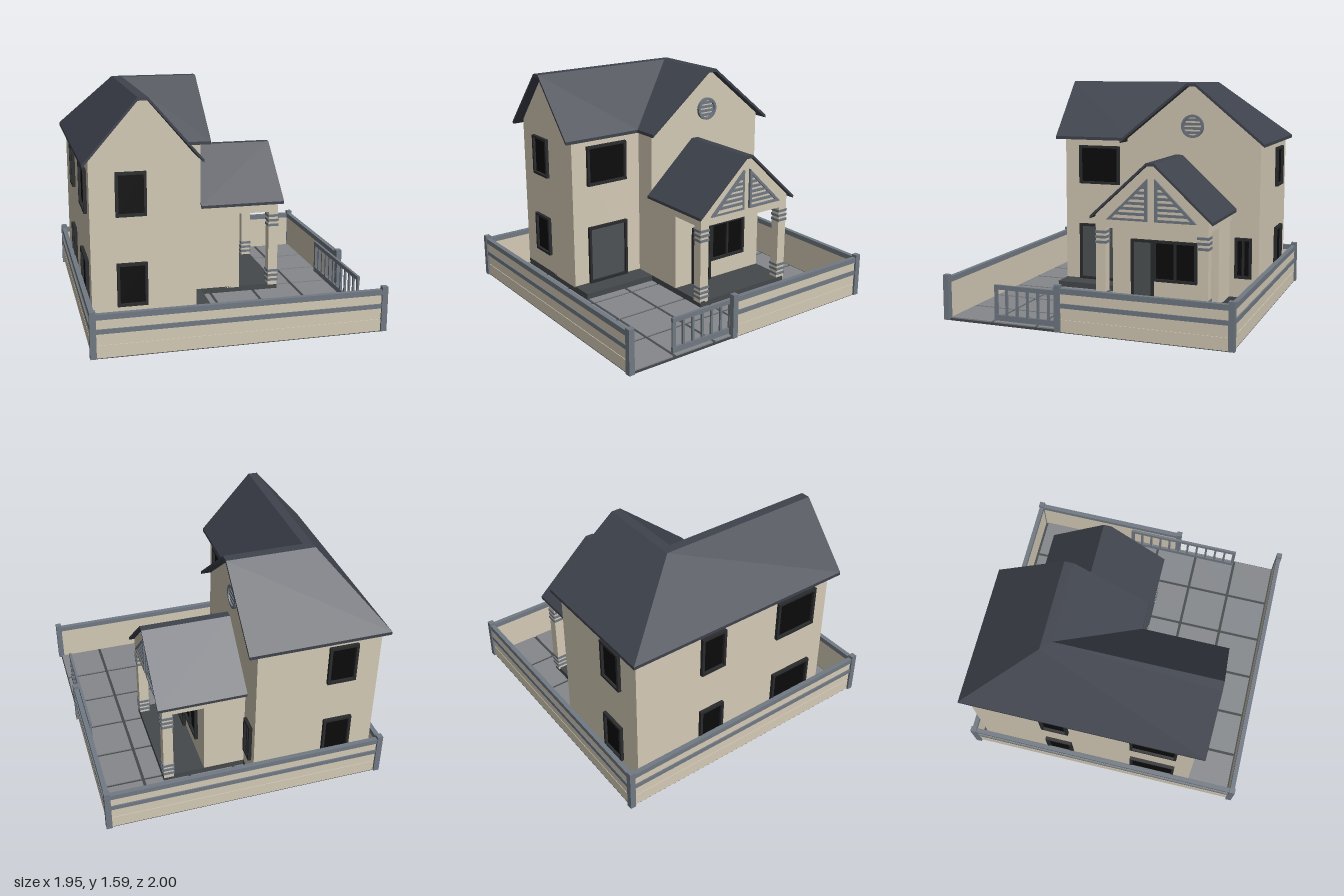
import * as THREE from 'three';

const mat = (color, flat = false) => new THREE.MeshStandardMaterial({ color, flatShading: flat, side: flat ? THREE.DoubleSide : THREE.FrontSide });
const WALL = mat(0xd4cab6, true), ROOF = mat(0x3f434d, true), TRIM = mat(0x717983), FRAME = mat(0x2a2b2d);
const GLASS = mat(0x0b0b0c), DOOR = mat(0x4e5254), PAVING = mat(0x85888c), BASE = mat(0x45494b);

function add(parent, name, geo, material) {
  const m = new THREE.Mesh(geo, material);
  m.name = name;
  parent.add(m);
  return m;
}

// Box given by its min and max along each axis
function box(parent, name, material, x0, x1, y0, y1, z0, z1) {
  const m = add(parent, name, new THREE.BoxGeometry(x1 - x0, y1 - y0, z1 - z0), material);
  m.position.set((x0 + x1) / 2, (y0 + y1) / 2, (z0 + z1) / 2);
  return m;
}

function group(parent, name, x, y, z, rotY = 0) {
  const g = new THREE.Group();
  g.name = name;
  g.position.set(x, y, z);
  g.rotation.y = rotY;
  parent.add(g);
  return g;
}

// Closed solid from matching loops of points, capped at both ends
function loft(loops, capOutline) {
  const tris = [], n = loops[0].length;
  for (let s = 0; s < loops.length - 1; s++) for (let i = 0; i < n; i++) {
    const j = (i + 1) % n, a = loops[s][i], b = loops[s][j], c = loops[s + 1][j], d = loops[s + 1][i];
    tris.push([a, b, c], [a, c, d]);
  }
  const outline = capOutline.map(p => new THREE.Vector2(...p));
  const sign = THREE.ShapeUtils.isClockWise(outline) ? -1 : 1;
  const last = loops[loops.length - 1];
  for (const f of THREE.ShapeUtils.triangulateShape(outline, [])) {
    const t = sign > 0 ? f : [f[0], f[2], f[1]];
    // triangulation keeps the outline's own direction
    const ccw = new THREE.Vector2().subVectors(outline[t[1]], outline[t[0]])
      .cross(new THREE.Vector2().subVectors(outline[t[2]], outline[t[0]])) > 0;
    const k = ccw === (sign > 0) ? t : [t[0], t[2], t[1]];
    tris.push([loops[0][k[0]], loops[0][k[2]], loops[0][k[1]]], [last[k[0]], last[k[1]], last[k[2]]]);
  }
  // Turn the solid outwards when its signed volume is negative
  const v = p => new THREE.Vector3(...p);
  const volume = tris.reduce((sum, [a, b, c]) => sum + v(a).dot(v(b).cross(v(c))), 0);
  const geo = new THREE.BufferGeometry();
  const flat = tris.flatMap(t => (volume < 0 ? [t[0], t[2], t[1]] : t).flat());
  geo.setAttribute('position', new THREE.Float32BufferAttribute(flat, 3));
  geo.computeVertexNormals();
  return geo;
}

// L-shaped solid with a mitred corner; points are [x on front wing, z on back wing, y]
function mitred(points, frontZ, endX) {
  return loft([
    points.map(([x, , y]) => [x, y, frontZ]),
    points.map(([x, z, y]) => [x, y, z]),
    points.map(([, z, y]) => [endX, y, z]),
  ], points.map(([x, , y]) => [x, y]));
}

// Straight solid along x; points are [z, y]
const alongX = (points, x0, x1) => loft([x0, x1].map(x => points.map(([z, y]) => [x, y, z])), points);

// Flat shape with one inner opening, extruded along z
function framed(outer, inner, depth) {
  const V = ps => ps.map(p => new THREE.Vector2(...p));
  const shape = new THREE.Shape(V(outer));
  shape.holes.push(new THREE.Path(V(inner)));
  return new THREE.ExtrudeGeometry(shape, { depth, bevelEnabled: false });
}
const rect = (w, h) => [[-w / 2, -h / 2], [w / 2, -h / 2], [w / 2, h / 2], [-w / 2, h / 2]];

// Window or door facing +z before turning
function opening(parent, name, x, z, rotY, w, y0, y1, fill = GLASS, mullion = false) {
  const g = group(parent, name, x, (y0 + y1) / 2, z, rotY), h = y1 - y0;
  add(g, 'frame', framed(rect(w, h), rect(w - 0.036, h - 0.036), 0.025), FRAME);
  box(g, 'pane', fill, -w / 2 + 0.01, w / 2 - 0.01, -h / 2 + 0.01, h / 2 - 0.01, -0.005, 0.007);
  if (mullion) box(g, 'mullion', FRAME, -0.008, 0.008, -h / 2 + 0.01, h / 2 - 0.01, 0, 0.02);
}

// Boundary wall whose outside faces +z before turning
function fence(parent, name, x, z, rotY, len) {
  const g = group(parent, name, x, 0, z, rotY), a = -len / 2, b = len / 2;
  box(g, 'panel', WALL, a, b, 0.02, 0.29, -0.015, 0.002);
  for (const [y0, y1] of [[0.02, 0.102], [0.108, 0.18], [0.21, 0.27]]) box(g, 'board', WALL, a, b, y0, y1, 0, 0.006);
  box(g, 'middleRail', TRIM, a, b, 0.18, 0.21, 0, 0.015);
  box(g, 'topRail', TRIM, a, b, 0.272, 0.308, -0.017, 0.015);
}

export function createModel() {
  const root = new THREE.Group();
  root.name = 'house';
  const Q = Math.PI / 2;

  // Ground slab and paving tiles
  box(root, 'groundSlab', BASE, -0.96, 0.96, 0.015, 0.03, -0.985, 0.985);
  const cuts = [-0.955, -0.635, -0.315, 0.005, 0.325, 0.645, 0.965];
  const paving = group(root, 'paving', 0, 0, 0);
  for (let i = 0; i < 6; i++) for (let j = 0; j < 6; j++) {
    box(paving, 'tile', PAVING, cuts[i] + 0.01, cuts[i + 1] - 0.01, 0.028, 0.038, cuts[j] + 0.01, cuts[j + 1] - 0.01);
  }

  // Foundation under house, doorstep and porch
  for (const [x0, x1, z0, z1] of [[-0.92, -0.07, -0.9, 0.65], [-0.07, 0.51, -0.69, 0.085]]) {
    box(root, 'footing', WALL, x0, x1, 0, 0.004, z0, z1);
    box(root, 'foundation', BASE, x0, x1, 0.004, 0.08, z0, z1);
  }

  // Two-storey walls and mitred roof
  add(root, 'houseWalls', mitred([
    [-0.92, -0.9, 0.07], [-0.92, -0.9, 1.19], [-0.605, -0.44, 1.567], [-0.55, -0.385, 1.567],
    [-0.23, 0.085, 1.19], [-0.23, 0.085, 0.07],
  ], 0.65, -0.07), WALL);
  const mainTop = [[-0.965, -0.94, 1.177], [-0.61, -0.445, 1.585], [-0.545, -0.38, 1.585], [-0.19, 0.12, 1.177]];
  const mainUnder = mainTop.map(([x, z, y]) => [x, z, y - 0.022]).reverse();
  add(root, 'mainRoof', mitred([...mainTop, ...mainUnder], 0.715, 0), ROOF);

  // Ground-floor room, porch gable and porch roof
  box(root, 'sideRoom', WALL, -0.08, 0.22, 0.07, 0.64, -0.69, 0.085);
  add(root, 'porchGable', alongX([[0.09, 0.63], [0.09, 0.72], [-0.283, 1.064], [-0.332, 1.064], [-0.7, 0.72], [-0.7, 0.63]], -0.07, 0.51), WALL);
  const porchTop = [[0.12, 0.712], [-0.28, 1.08], [-0.335, 1.08], [-0.735, 0.712]];
  const porchUnder = porchTop.map(([z, y]) => [z, y - 0.02]).reverse();
  add(root, 'porchRoof', alongX([...porchTop, ...porchUnder], -0.07, 0.545), ROOF);

  // Porch columns with bands near top and bottom
  for (const z of [0.055, -0.665]) {
    const c = group(root, 'porchColumn', 0.475, 0, z);
    box(c, 'shaft', WALL, -0.035, 0.035, 0.07, 0.64, -0.035, 0.035);
    for (const y of [0.11, 0.145, 0.18, 0.53, 0.565, 0.6]) {
      box(c, 'band', TRIM, -0.04, 0.04, y - 0.009, y + 0.009, -0.04, 0.04);
    }
  }

  // Pair of triangular louvres on the porch gable
  const louvres = group(root, 'gableLouvres', 0.505, 0.69, -0.307, Q);
  for (const s of [-1, 1]) {
    const outer = [[0.025, 0], [0.315, 0], [0.025, 0.285]], inner = [[0.043, 0.016], [0.272, 0.016], [0.043, 0.242]];
    add(louvres, 'louvreFrame', framed(outer.map(([x, y]) => [s * x, y]), inner.map(([x, y]) => [s * x, y]), 0.022), TRIM);
    for (let y = 0.045; y < 0.24; y += 0.036) {
      const x = 0.3 - y, a = s * 0.03, b = s * Math.max(x, 0.06);
      box(louvres, 'slat', TRIM, Math.min(a, b), Math.max(a, b), y - 0.009, y + 0.009, 0, 0.016);
    }
  }

  // Round vent high in the side gable
  const vent = group(root, 'roundVent', -0.075, 1.285, -0.41, Q);
  const ring = new THREE.Shape().absarc(0, 0, 0.082, 0, Math.PI * 2);
  ring.holes.push(new THREE.Path().absarc(0, 0, 0.064, 0, Math.PI * 2, true));
  add(vent, 'ring', new THREE.ExtrudeGeometry(ring, { depth: 0.026, bevelEnabled: false, curveSegments: 24 }), TRIM);
  for (const y of [-0.045, -0.015, 0.015, 0.045]) {
    const half = Math.sqrt(0.07 ** 2 - y * y);
    box(vent, 'slat', TRIM, -half, half, y - 0.009, y + 0.009, 0, 0.018);
  }

  // Windows on both storeys
  for (const [y0, y1] of [[0.22, 0.51], [0.82, 1.11]]) {
    opening(root, 'frontWindow', -0.655, 0.648, 0, 0.2, y0, y1);
    opening(root, 'backWindow', -0.655, -0.898, Math.PI, 0.2, y0, y1);
    opening(root, 'largeSideWindow', -0.918, 0.37, -Q, 0.325, y0, y1);
    opening(root, 'smallSideWindow', -0.918, -0.32, -Q, 0.19, y0, y1);
  }
  opening(root, 'upperCourtWindow', -0.232, 0.37, Q, 0.325, 0.82, 1.11);
  opening(root, 'rearCourtWindow', -0.072, -0.79, Q, 0.12, 0.22, 0.51, GLASS, true);
  opening(root, 'porchWindow', 0.218, -0.382, Q, 0.316, 0.22, 0.51, GLASS, true);

  // Doors
  opening(root, 'courtDoor', -0.232, 0.37, Q, 0.325, 0.08, 0.51, DOOR);
  opening(root, 'porchDoor', 0.218, -0.142, Q, 0.164, 0.08, 0.51, DOOR);

  // Boundary walls and posts
  fence(root, 'frontFence', 0, 0.98, 0, 1.92);
  fence(root, 'backFence', 0, -0.98, Math.PI, 1.92);
  fence(root, 'leftFence', -0.957, 0, -Q, 1.96);
  fence(root, 'rightFence', 0.957, -0.4, Q, 1.16);
  for (const [x, z] of [[-0.957, 0.98], [0.957, 0.98], [-0.957, -0.98], [0.957, -0.98], [0.957, 0.165]]) {
    box(root, 'fencePost', TRIM, x - 0.02, x + 0.02, 0.02, 0.328, z - 0.02, z + 0.02);
  }

  // Sliding gate running behind the right wall
  const gate = group(root, 'slidingGate', 0.922, 0, 0);
  box(gate, 'topRail', TRIM, -0.009, 0.009, 0.25, 0.28, -0.22, 0.64);
  box(gate, 'bottomRail', TRIM, -0.009, 0.009, 0.04, 0.078, -0.22, 0.64);
  for (let i = 0; i <= 11; i++) {
    const z = -0.208 + i * 0.836 / 11, w = i % 11 ? 0.008 : 0.012;
    box(gate, 'bar', TRIM, -0.007, 0.007, 0.045, 0.275, z - w, z + w);
  }
  return root;
}
